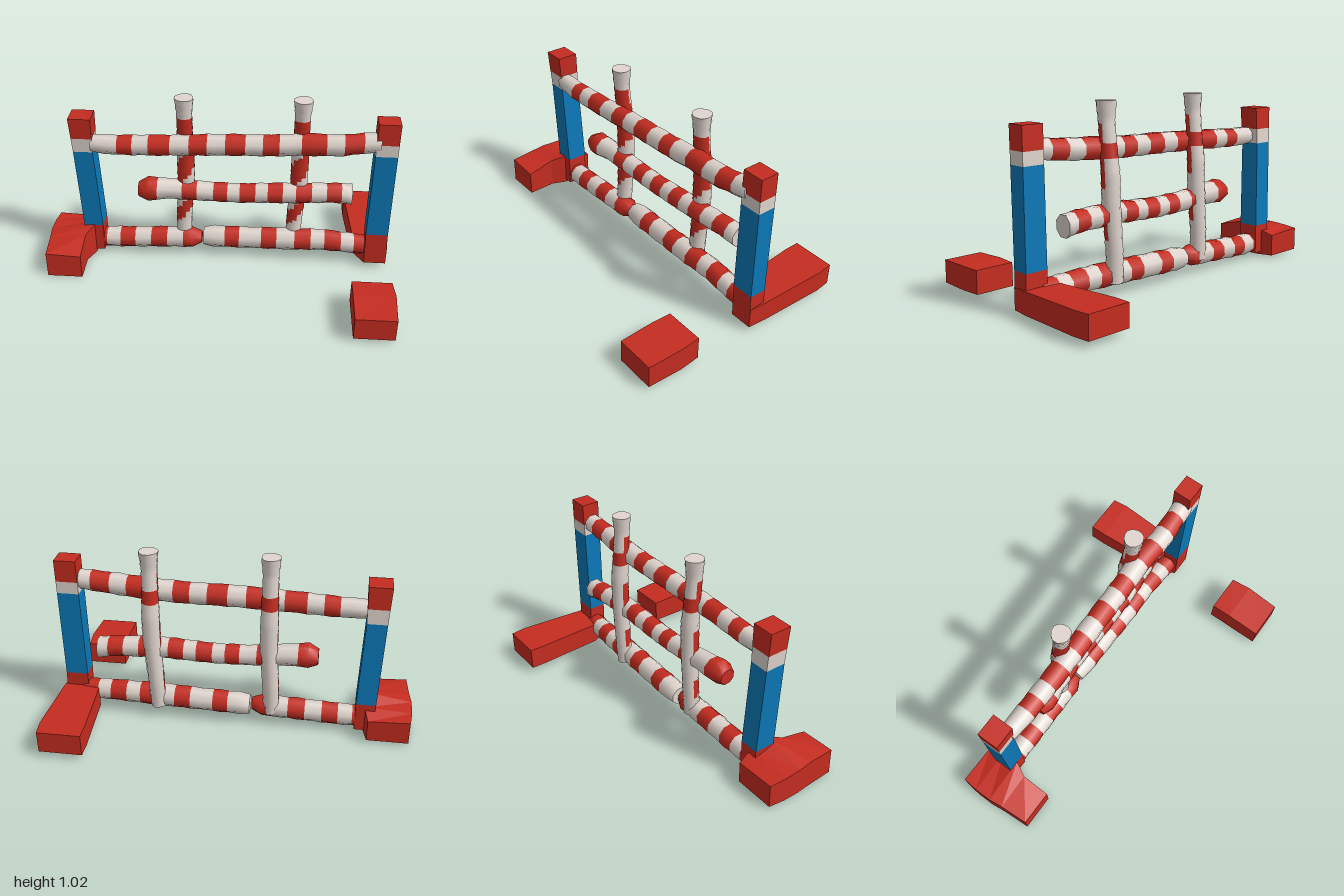
import * as THREE from 'three';
import { toCreasedNormals } from 'three/addons/utils/BufferGeometryUtils.js';

const mat = (name, color) => new THREE.MeshStandardMaterial({ name, color });

export function createModel() {
  const red = mat('red paint', 0xc52c20);
  const white = mat('white paint', 0xe0d5ce);
  const blue = mat('blue paint', 0x0b79b8);
  const model = new THREE.Group();
  model.name = 'jumpFence';

  const add = (name, geometry, material) => {
    const mesh = new THREE.Mesh(geometry, material);
    mesh.name = name;
    model.add(mesh);
  };

  // Interpolates a row of values from a table keyed by its first column
  const sample = (table, s) => {
    let i = 0;
    while (i < table.length - 2 && s > table[i + 1][0]) i++;
    const a = table[i], b = table[i + 1];
    const t = THREE.MathUtils.clamp((s - a[0]) / (b[0] - a[0]), 0, 1);
    return a.map((v, k) => v + (b[k] - v) * t);
  };

  // Hand-made round pole: path rows are [s, first offset, second offset, radius]
  const pole = (name, axis, path, stations, isRed, sides = 8) => {
    const pos = [], faces = [[], []];
    const put = (s, u, v) => (axis === 'x' ? pos.push(s, u, v) : pos.push(v, s, u));
    stations.forEach((s, i) => {
      const [, u, v, r] = sample(path, s);
      for (let j = 0; j < sides; j++) {
        const a = ((j + 0.5) / sides) * Math.PI * 2;
        const rr = r * (1 + 0.04 * Math.sin(i * 2.3 + j * 1.7));
        put(s, u + rr * Math.cos(a), v + rr * Math.sin(a));
      }
    });
    const last = stations.length - 1;
    for (let i = 0; i < last; i++) {
      for (let j = 0; j < sides; j++) {
        const k = (j + 1) % sides, p = i * sides, q = p + sides;
        const angle = ((j + 1) / sides) * Math.PI * 2;
        const list = faces[isRed((stations[i] + stations[i + 1]) / 2, angle) ? 0 : 1];
        list.push(p + j, p + k, q + k, p + j, q + k, q + j);
      }
    }
    // End caps
    for (const i of [0, last]) {
      const [, u, v] = sample(path, stations[i]);
      const c = pos.length / 3;
      put(stations[i], u, v);
      const near = i ? (stations[i] + stations[i - 1]) / 2 : (stations[0] + stations[1]) / 2;
      const list = faces[isRed(near, 0) ? 0 : 1];
      for (let j = 0; j < sides; j++) {
        const a = i * sides + j, b = i * sides + (j + 1) % sides;
        list.push(c, i ? a : b, i ? b : a);
      }
    }
    const g = new THREE.BufferGeometry();
    g.setAttribute('position', new THREE.Float32BufferAttribute(pos, 3));
    g.setIndex([...faces[0], ...faces[1]]);
    g.addGroup(0, faces[0].length, 0);
    g.addGroup(faces[0].length, faces[1].length, 1);
    add(name, toCreasedNormals(g, 0.95), [red, white]);
  };

  // Horizontal rail with alternating stripes between the given x edges
  const rail = (name, edges, firstRed, path) => {
    const stations = [];
    edges.forEach((e, i) => {
      stations.push(e);
      if (i < edges.length - 1) stations.push((e + edges[i + 1]) / 2);
    });
    pole(name, 'x', path, stations, (s) => {
      const band = edges.filter((e) => e < s).length - 1;
      return (band % 2 === 0) === firstRed;
    });
  };

  rail('topRail',
    [-0.72, -0.57, -0.485, -0.395, -0.275, -0.17, -0.07, 0.03, 0.14, 0.235, 0.325, 0.445, 0.58, 0.675, 0.78, 0.87],
    false,
    [[-0.72, 0.745, -0.075, 0.05], [-0.6, 0.74, -0.07, 0.056], [-0.35, 0.75, -0.065, 0.058], [0, 0.765, -0.07, 0.06],
      [0.3, 0.77, -0.075, 0.06], [0.45, 0.78, -0.08, 0.062], [0.65, 0.79, -0.065, 0.06], [0.87, 0.815, -0.075, 0.055]]);
  rail('middleRail',
    [-0.47, -0.36, -0.22, -0.135, -0.04, 0.04, 0.11, 0.2, 0.27, 0.355, 0.43, 0.52, 0.605, 0.69, 0.75],
    true,
    [[-0.47, 0.44, -0.1, 0.045], [-0.41, 0.445, -0.1, 0.072], [-0.3, 0.445, -0.11, 0.06], [-0.1, 0.43, -0.12, 0.057],
      [0.1, 0.425, -0.12, 0.057], [0.4, 0.44, -0.12, 0.06], [0.65, 0.44, -0.14, 0.058], [0.75, 0.43, -0.15, 0.06]]);
  rail('bottomRailRight',
    [-0.75, -0.675, -0.595, -0.505, -0.41, -0.315, -0.22, -0.11],
    true,
    [[-0.75, 0.085, -0.12, 0.06], [-0.6, 0.085, -0.12, 0.062], [-0.4, 0.095, -0.12, 0.062],
      [-0.165, 0.105, -0.12, 0.062], [-0.11, 0.11, -0.12, 0.035]]);
  rail('bottomRailLeft',
    [-0.1, 0.025, 0.11, 0.24, 0.33, 0.435, 0.53, 0.61, 0.705, 0.78, 0.87],
    false,
    [[-0.1, 0.11, -0.13, 0.055], [-0.05, 0.11, -0.13, 0.065], [0.2, 0.115, -0.125, 0.064], [0.4, 0.12, -0.12, 0.066],
      [0.6, 0.125, -0.12, 0.062], [0.87, 0.115, -0.1, 0.058]]);

  // Upright poles with slanted painted patches on the front
  const heights = Array.from({ length: 50 }, (_, i) => 0.08 + (i * 0.945) / 49);
  const patches = (y, angle) => {
    if (y > 0.73 && y < 0.82) return true;
    if (Math.cos(angle) < -0.1) return false;
    const t = y - 0.06 * Math.sin(angle);
    return (y > 0.82 && y < 0.91) || (y < 0.73 && t > 0.52 && t < 0.68) || (t > 0.26 && t < 0.37);
  };
  for (const [name, x, z] of [['rightUpright', -0.2, 0.01], ['leftUpright', 0.445, -0.005]]) {
    pole(name, 'y',
      [[0.08, -0.15 + z, x - 0.02, 0.045], [0.25, -0.155 + z, x - 0.015, 0.046], [0.5, -0.15 + z, x, 0.05],
        [0.65, -0.148 + z, x, 0.05], [0.8, -0.132 + z, x, 0.045], [0.93, -0.12 + z, x, 0.044],
        [1.025, -0.118 + z, x, 0.053]],
      heights, patches, 12);
  }

  // Boxes whose corners follow a rule
  const shaped = (name, material, geometry, rule) => {
    const p = geometry.attributes.position;
    for (let i = 0; i < p.count; i++) {
      p.setXYZ(i, ...rule(p.getX(i) + 0.5, p.getY(i) + 0.5, p.getZ(i) + 0.5));
    }
    const flat = geometry.toNonIndexed();
    flat.computeVertexNormals();
    add(name, flat, material);
  };

  // Posts: rows are [y, x min, x max, z min, z max]
  const post = (name, levels, rows) => {
    const parts = [['Base', red], ['Shaft', blue], ['Band', white], ['Cap', red]];
    parts.forEach(([part, material], i) => {
      shaped(name + part, material, new THREE.BoxGeometry(1, 1, 1), (u, v, w) => {
        const y = levels[i + Math.round(v)];
        const [, x0, x1, z0, z1] = sample(rows, y);
        return [x0 + (x1 - x0) * u, y, z0 + (z1 - z0) * w];
      });
    });
  };
  post('rightPost', [0.03, 0.2, 0.7, 0.785, 0.91],
    [[0.03, -0.79, -0.69, -0.18, -0.06], [0.2, -0.8, -0.69, -0.18, -0.06], [0.7, -0.82, -0.71, -0.16, -0.045],
      [0.91, -0.83, -0.705, -0.15, -0.03]]);
  post('leftPost', [0.035, 0.23, 0.745, 0.815, 0.94],
    [[0.035, 0.845, 0.97, -0.135, -0.04], [0.23, 0.84, 0.965, -0.135, -0.038], [0.94, 0.845, 0.965, -0.135, -0.03]]);

  // Feet: rows are [z, x min, x max, y bottom, y top at x min, y top at x max]
  const foot = (name, rows) => {
    const n = rows.length - 1;
    shaped(name, red, new THREE.BoxGeometry(1, 1, 1, 1, 1, n), (u, v, w) => {
      const [z, x0, x1, y0, ya, yb] = rows[Math.round(w * n)];
      return [x0 + (x1 - x0) * u, y0 + (ya + (yb - ya) * u - y0) * v, z];
    });
  };
  foot('rightFoot', [
    [-0.25, -0.99, -0.76, 0.015, 0.15, 0.14], [-0.16, -1, -0.74, 0.012, 0.155, 0.17],
    [-0.06, -1, -0.74, 0.01, 0.16, 0.205], [0.02, -0.99, -0.78, 0.005, 0.16, 0.18],
    [0.18, -0.98, -0.78, 0, 0.15, 0.14]]);
  foot('leftBackFoot', [
    [-0.62, 0.745, 0.985, 0.035, 0.16, 0.16], [-0.53, 0.745, 0.995, 0.035, 0.16, 0.16],
    [-0.15, 0.775, 0.98, 0.03, 0.15, 0.15], [-0.04, 0.845, 0.97, 0.03, 0.145, 0.145]]);
  foot('leftFrontFoot', [
    [0.305, 0.745, 0.965, 0.025, 0.155, 0.155], [0.42, 0.745, 0.975, 0.025, 0.16, 0.158],
    [0.615, 0.745, 0.965, 0.022, 0.15, 0.15]]);

  return model;
}
